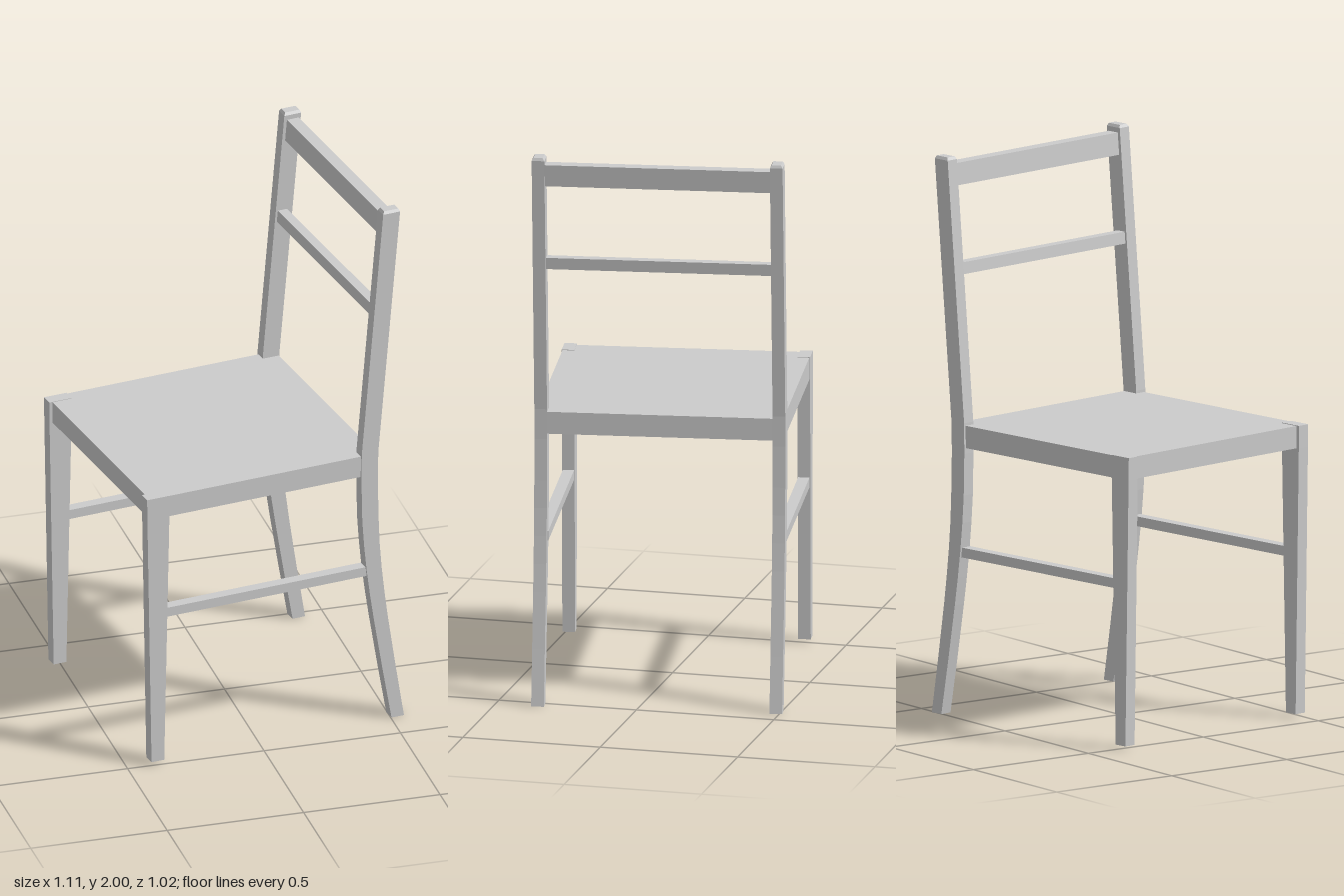
import * as THREE from 'three';

// Four-sided solid lofted through rows of [y, front, back, halfWidth], centred on z = 0
function loft(name, rows, z = 0) {
  const pos = [];
  const rings = rows.map(([y, a, b, w]) => [[a, y, -w], [a, y, w], [b, y, w], [b, y, -w]]);
  const quad = (a, b, c, d) => pos.push(...a, ...b, ...c, ...a, ...c, ...d);
  for (let r = 0; r < rings.length - 1; r++) {
    const lo = rings[r], hi = rings[r + 1];
    for (let i = 0; i < 4; i++) {
      const j = (i + 1) % 4;
      quad(lo[i], lo[j], hi[j], hi[i]);
    }
  }
  const top = rings[rings.length - 1], bottom = rings[0];
  quad(top[0], top[1], top[2], top[3]);
  quad(bottom[3], bottom[2], bottom[1], bottom[0]);
  const geo = new THREE.BufferGeometry();
  geo.setAttribute('position', new THREE.Float32BufferAttribute(pos, 3));
  geo.computeVertexNormals();
  const mesh = new THREE.Mesh(geo, new THREE.MeshStandardMaterial({ color: 0xcccccc, flatShading: true }));
  mesh.name = name;
  mesh.position.z = z;
  return mesh;
}

export function createModel() {
  const chair = new THREE.Group();
  chair.name = 'chair';

  // Seat slab
  chair.add(loft('seat', [[0.97, -0.485, 0.39, 0.437], [1.05, -0.485, 0.39, 0.437]]));

  // Leaning back rails
  chair.add(loft('topRail', [[1.894, 0.415, 0.459, 0.405], [1.973, 0.422, 0.467, 0.405]]));
  chair.add(loft('lowerRail', [[1.58, 0.383, 0.419, 0.405], [1.622, 0.387, 0.423, 0.405]]));

  for (const [side, s] of [['left', 1], ['right', -1]]) {
    // Tapered front leg
    chair.add(loft(side + 'FrontLeg', [
      [0.015, -0.481, -0.432, 0.0225],
      [0.97, -0.497, -0.412, 0.0225],
      [1.052, -0.498, -0.412, 0.0225],
    ], s * 0.4175));

    // Curved rear leg running up into the back post, with a chamfered top
    const w = 0.0225;
    chair.add(loft(side + 'BackPost', [
      [0, 0.444, 0.492, w],
      [0.2, 0.409, 0.46, w],
      [0.4, 0.376, 0.43, w],
      [0.5, 0.361, 0.417, w],
      [0.6, 0.348, 0.406, w],
      [0.7, 0.338, 0.398, w],
      [0.8, 0.331, 0.394, w],
      [0.95, 0.328, 0.391, w],
      [1.06, 0.329, 0.393, w],
      [1.99, 0.412, 0.477, w],
      [2, 0.418, 0.473, w - 0.006],
    ], s * 0.422));

    // Side stretcher
    chair.add(loft(side + 'Stretcher', [
      [0.575, -0.45, 0.375, 0.02],
      [0.61, -0.45, 0.375, 0.02],
    ], s * 0.417));
  }

  // The whole chair is turned slightly about the vertical
  chair.rotation.y = 0.143;
  const model = new THREE.Group();
  model.name = 'model';
  model.add(chair);
  return model;
}
